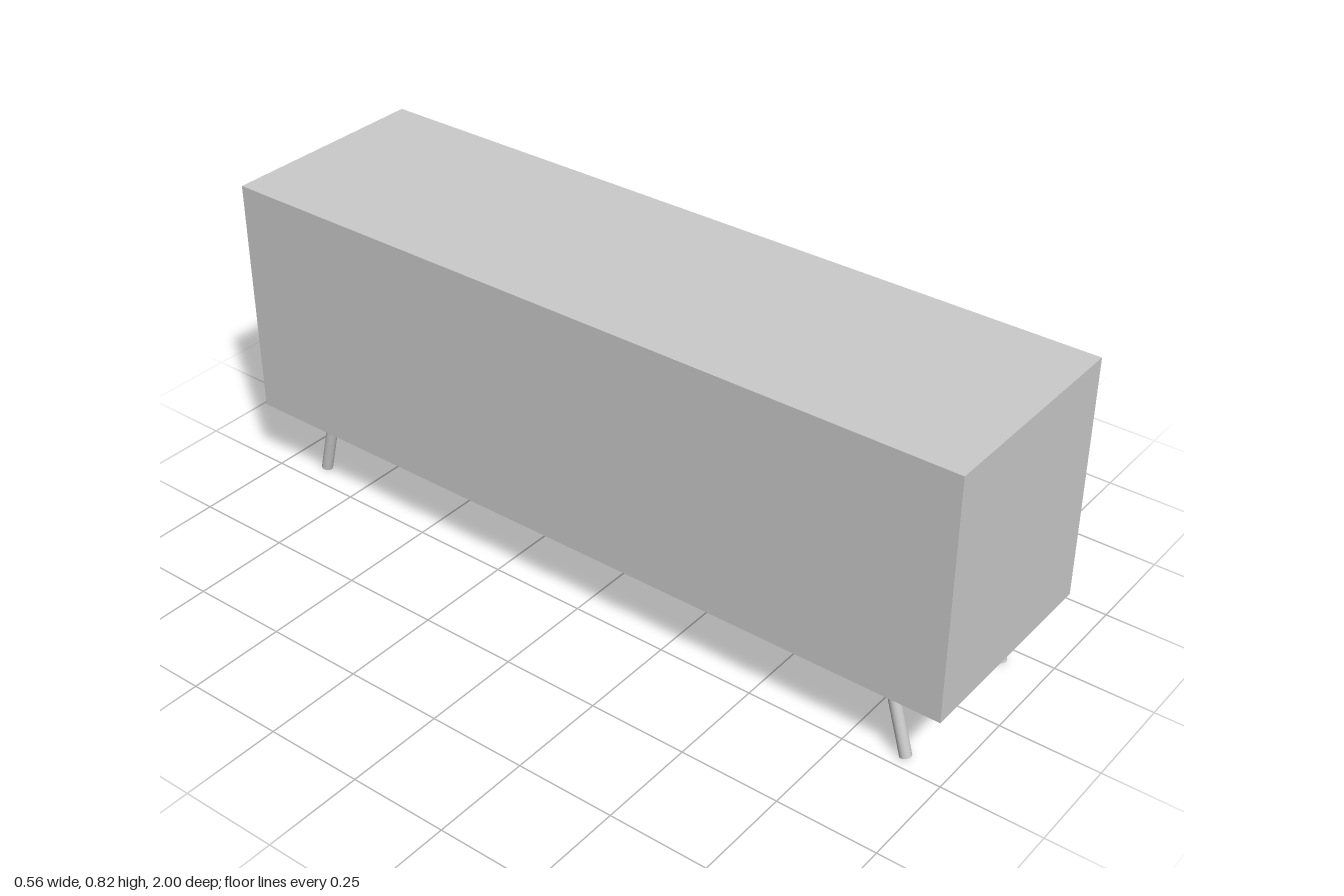
import * as THREE from 'three';

const material = new THREE.MeshStandardMaterial({ color: 0xcccccc });

// Openings in the long +x face: [zMin, zMax, yMin, yMax]
const DOOR = [-0.94, 0.18, 0.32, 0.77];
const SHELVES = [[0.26, 0.925, 0.57, 0.77], [0.26, 0.925, 0.26, 0.51]];
const BOTTOM = 0.197, TOP = 0.817, HALF_DEPTH = 0.278;
const BACK = -0.25, DOOR_FACE = 0.215;

function add(parent, name, geometry) {
  const mesh = new THREE.Mesh(geometry, material);
  mesh.name = name;
  parent.add(mesh);
  return mesh;
}

// Box given by its limits on each axis
function boxBetween(x0, x1, y0, y1, z0, z1) {
  return new THREE.BoxGeometry(x1 - x0, y1 - y0, z1 - z0)
    .translate((x0 + x1) / 2, (y0 + y1) / 2, (z0 + z1) / 2);
}

// Rectangle drawn in (-z, y), ready to be extruded and turned towards +x
function trace(path, [z0, z1, y0, y1]) {
  path.moveTo(-z1, y0);
  path.lineTo(-z0, y0);
  path.lineTo(-z0, y1);
  path.lineTo(-z1, y1);
  path.closePath();
  return path;
}

export function createModel() {
  const model = new THREE.Group();
  model.name = 'mediaCabinet';

  // Carcass with a door recess and two open shelves
  const outline = trace(new THREE.Shape(), [-1, 1, BOTTOM, TOP]);
  for (const hole of [DOOR, ...SHELVES]) outline.holes.push(trace(new THREE.Path(), hole));
  const carcass = new THREE.ExtrudeGeometry(outline, { depth: HALF_DEPTH - BACK, bevelEnabled: false });
  carcass.rotateY(Math.PI / 2).translate(BACK, 0, 0);
  add(model, 'carcass', carcass);
  add(model, 'backPanel', boxBetween(-HALF_DEPTH, BACK, BOTTOM, TOP, -1, 1));

  // Recessed door front
  add(model, 'doorPanel', boxBetween(BACK, DOOR_FACE, DOOR[2], DOOR[3], DOOR[0], DOOR[1]));

  // Round knobs
  for (const z of [-0.28, -0.475]) {
    add(model, 'knob', new THREE.SphereGeometry(0.029, 32, 20)).position.set(0.228, 0.535, z);
  }

  // Splayed round legs: [top x, foot x, end of the cabinet]
  const legs = [[-0.214, -0.214, 1], [0.195, 0.195, 1], [-0.197, -0.19, -1], [0.177, 0.184, -1]];
  for (const [topX, footX, end] of legs) {
    const top = new THREE.Vector3(topX, 0.205, end * 0.835);
    const foot = new THREE.Vector3(footX, 0.0035, end * 0.891);
    const axis = top.clone().sub(foot);
    const leg = add(model, 'leg', new THREE.CylinderGeometry(0.0145, 0.0145, axis.length(), 24));
    leg.position.copy(top).add(foot).multiplyScalar(0.5);
    leg.quaternion.setFromUnitVectors(new THREE.Vector3(0, 1, 0), axis.normalize());
  }
  return model;
}
